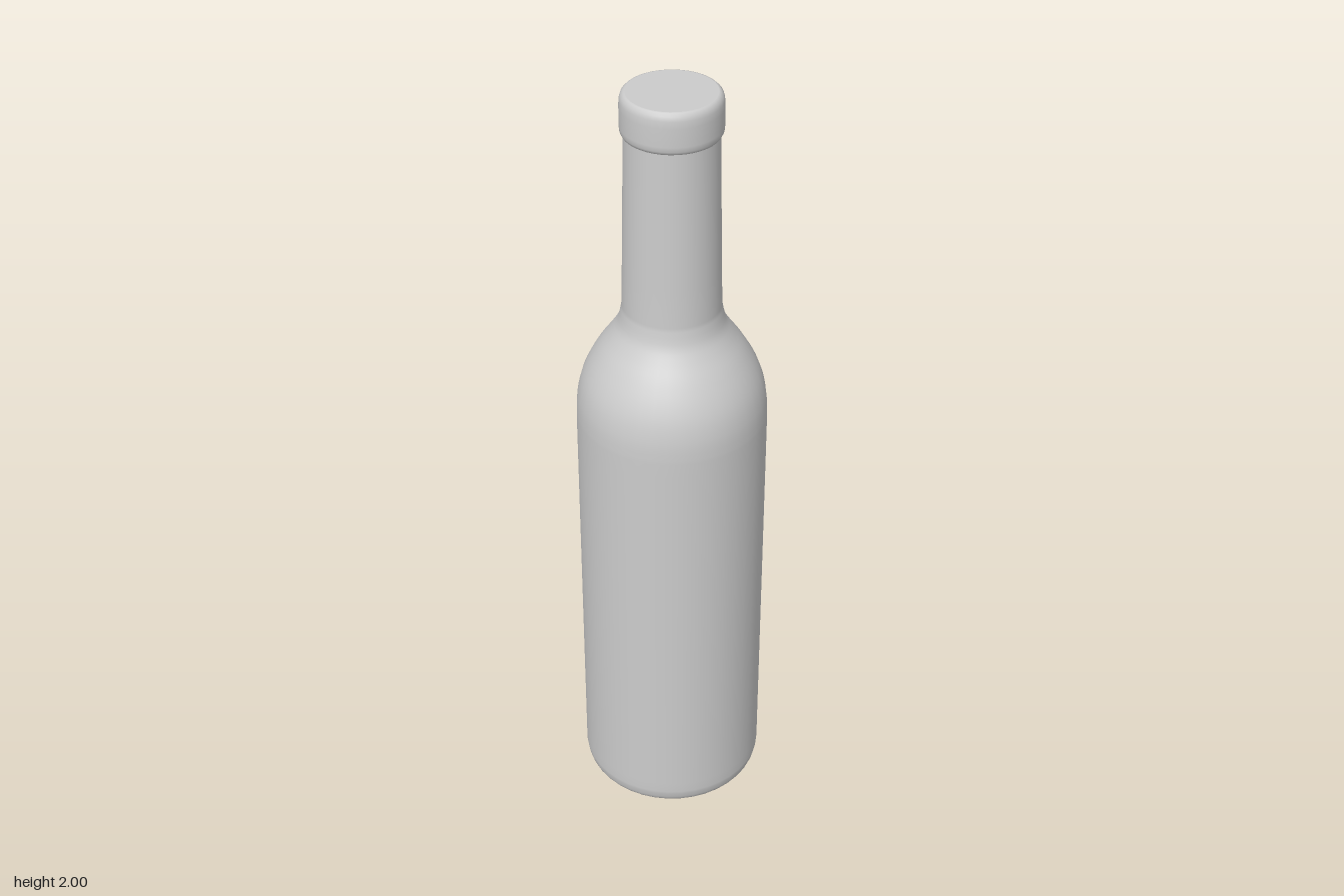
import * as THREE from 'three';

const SEGMENTS = 40;
const material = new THREE.MeshStandardMaterial({ color: 0xcccccc });

// Revolves a list of [radius, height] pairs, listed from bottom to top
function turned(name, pairs) {
  const points = pairs.map(([r, y]) => new THREE.Vector2(r, y));
  const mesh = new THREE.Mesh(new THREE.LatheGeometry(points, SEGMENTS), material);
  mesh.name = name;
  return mesh;
}

// Points of a smooth curve through [radius, height] pairs
function smooth(pairs, count) {
  const curve = new THREE.SplineCurve(pairs.map(([r, y]) => new THREE.Vector2(r, y)));
  return curve.getPoints(count).map((p) => [p.x, p.y]);
}

export function createModel() {
  const bottle = new THREE.Group();
  bottle.name = 'bottle';

  // Hollow under the base, rising to a rounded peak
  const punt = smooth([[0, 0.13], [0.04, 0.118], [0.09, 0.07], [0.14, 0.02], [0.175, 0.002], [0.195, 0]], 18);
  bottle.add(turned('punt', punt));

  // Rounded heel, straight wall, shoulder and tapering neck
  const heel = smooth([[0.195, 0], [0.215, 0.006], [0.229, 0.022], [0.235, 0.05]], 8);
  const shoulder = smooth([
    [0.235, 1.14], [0.232, 1.19], [0.222, 1.24], [0.204, 1.285],
    [0.178, 1.33], [0.15, 1.37], [0.13, 1.405], [0.12, 1.45],
  ], 24);
  const neck = [[0.118, 1.55], [0.114, 1.75], [0.111, 1.91]];
  bottle.add(turned('body', [...heel, [0.235, 0.08], [0.235, 1.1], ...shoulder, ...neck]));

  // Collar around the mouth
  const collar = [
    [0.109, 1.898], [0.115, 1.9], [0.119, 1.908], [0.12, 1.92],
    [0.12, 1.965], [0.119, 1.982], [0.116, 1.993], [0.11, 1.999], [0.106, 2],
  ];
  bottle.add(turned('collar', collar));

  // Flat closed top
  bottle.add(turned('top', [[0.106, 2], [0, 2]]));

  return bottle;
}
